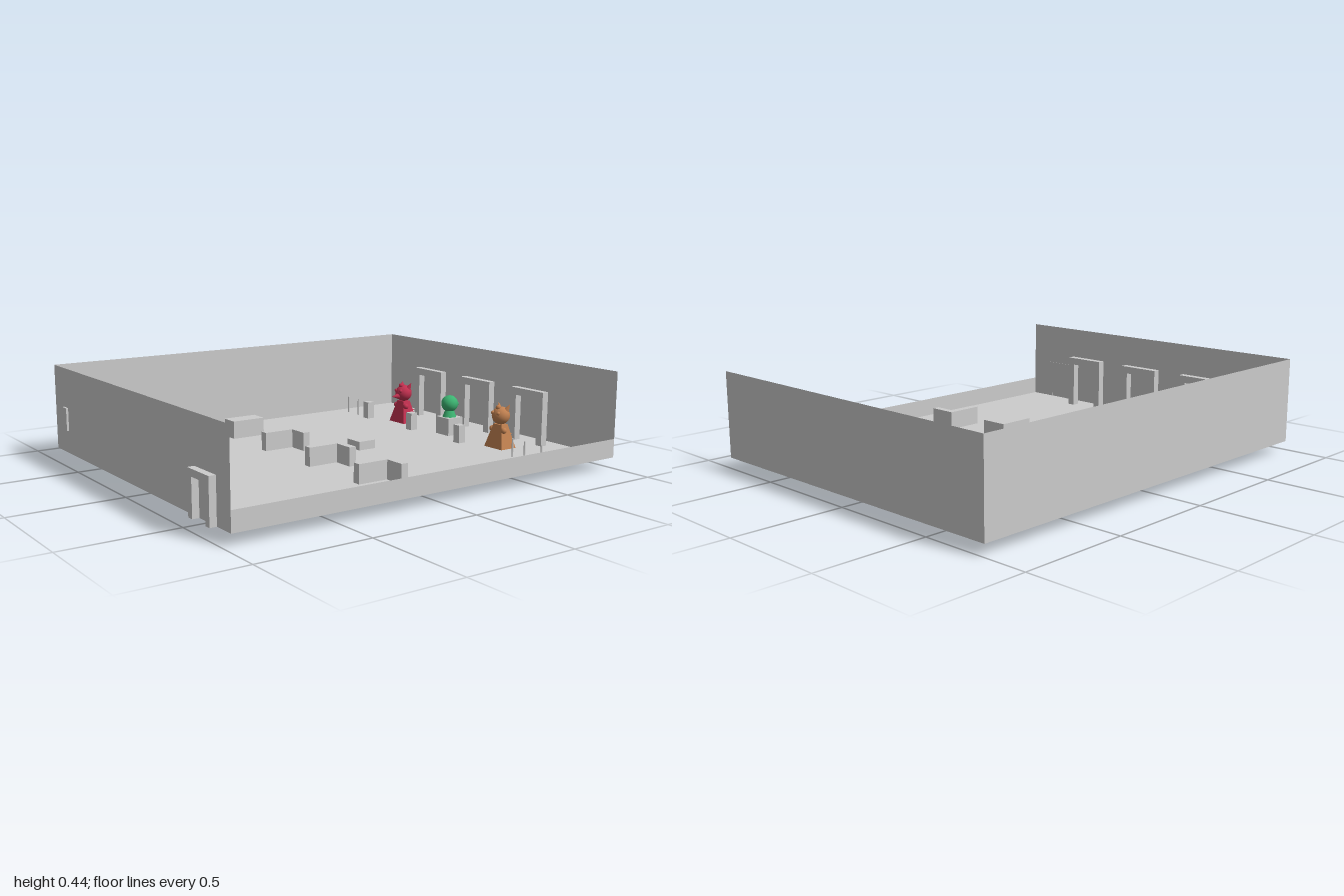
import * as THREE from 'three';

const FLOOR = 0.05;
const LOW = 0.135;   // height of the low wall and furniture
const HIGH = 0.44;

const grey = new THREE.MeshStandardMaterial({ color: 0xcccccc });
const sheet = new THREE.MeshStandardMaterial({ color: 0xcccccc, side: THREE.DoubleSide });

function add(parent, name, geometry, material, x = 0, y = 0, z = 0) {
  const mesh = new THREE.Mesh(geometry, material);
  mesh.name = name;
  mesh.position.set(x, y, z);
  parent.add(mesh);
  return mesh;
}

// Box given by its two extreme corners
function box(parent, name, x0, x1, y0, y1, z0, z1) {
  return add(parent, name, new THREE.BoxGeometry(x1 - x0, y1 - y0, z1 - z0), grey,
    (x0 + x1) / 2, (y0 + y1) / 2, (z0 + z1) / 2);
}

// Open doorway: two posts and a lintel, facing along x
function doorway(parent, name, x0, x1, top, z, half, post) {
  const s = new THREE.Shape();
  const h = top - FLOOR;
  const pts = [[-half, 0], [-half + post, 0], [-half + post, h - post], [half - post, h - post],
    [half - post, 0], [half, 0], [half, h], [-half, h]];
  s.setFromPoints(pts.map(([a, b]) => new THREE.Vector2(a, b)));
  const g = new THREE.ExtrudeGeometry(s, { depth: x1 - x0, bevelEnabled: false });
  g.rotateY(Math.PI / 2);
  add(parent, name, g, grey, x0, FLOOR, z);
}

// L-shaped partition with its long arm along x
function partition(parent, z) {
  const s = new THREE.Shape();
  const pts = [[-0.214, 0], [-0.037, 0], [-0.037, -0.132], [-0.07, -0.132], [-0.07, -0.037], [-0.214, -0.037]];
  s.setFromPoints(pts.map(([a, b]) => new THREE.Vector2(a, b)));
  const g = new THREE.ExtrudeGeometry(s, { depth: LOW - FLOOR, bevelEnabled: false });
  g.rotateX(-Math.PI / 2);
  add(parent, 'partition', g, grey, 0, FLOOR, z);
}

// Cone whose tip points along a direction
function spike(parent, name, material, radius, length, base, dir) {
  const g = new THREE.ConeGeometry(radius, length, 12);
  g.translate(0, length / 2, 0);
  const m = add(parent, name, g, material, ...base);
  m.quaternion.setFromUnitVectors(new THREE.Vector3(0, 1, 0), new THREE.Vector3(...dir).normalize());
}

// Figure with a tapered body, round head, pointed crest and tail
function robedFigure(parent, name, color, z, beak) {
  const mat = new THREE.MeshStandardMaterial({ color });
  const fig = new THREE.Group();
  fig.name = name;
  fig.position.set(0.73, FLOOR, z);
  parent.add(fig);

  const body = new THREE.CylinderGeometry(0.45, 1, 1, 4, 1).toNonIndexed();
  body.rotateY(Math.PI / 4);
  body.scale(0.045 * Math.SQRT2, 0.11, 0.058 * Math.SQRT2);
  body.computeVertexNormals();
  add(fig, 'body', body, mat, 0, 0.055, 0);
  add(fig, 'head', new THREE.SphereGeometry(0.042, 24, 16), mat, 0, 0.15, 0);
  spike(fig, 'tail', mat, 0.018, 0.055, [0.02, 0.05, 0], [1, 0.1, 0]);
  for (const side of [-1, 1]) {
    spike(fig, 'ear', mat, 0.014, 0.035, [0.012, 0.175, side * 0.022], [0.25, 1, side * 0.5]);
    add(fig, 'eye', new THREE.SphereGeometry(0.009, 12, 8), mat, -0.034, 0.165, side * 0.018);
    add(fig, 'arm', new THREE.SphereGeometry(0.014, 12, 8), mat, -0.015, 0.085, side * 0.038);
  }
  add(fig, 'crest', new THREE.SphereGeometry(0.012, 12, 8), mat, -0.018, 0.19, 0);
  if (beak) spike(fig, 'beak', mat, 0.016, 0.04, [-0.035, 0.137, 0], [-1, 0, 0]);
}

export function createModel() {
  const room = new THREE.Group();
  room.name = 'room';

  // Floor and thin walls, low at the front
  const W = 1.97, D = 1.61, cx = 0.015;
  add(room, 'floor', new THREE.PlaneGeometry(W, D).rotateX(-Math.PI / 2), sheet, cx, FLOOR, 0);
  const hHigh = HIGH - FLOOR, hLow = LOW - FLOOR;
  add(room, 'backWall', new THREE.PlaneGeometry(W, hHigh), sheet, cx, FLOOR + hHigh / 2, -D / 2);
  add(room, 'frontWall', new THREE.PlaneGeometry(W, hLow), sheet, cx, FLOOR + hLow / 2, D / 2);
  for (const [name, x] of [['rightWall', -0.97], ['leftWall', 1]])
    add(room, name, new THREE.PlaneGeometry(D, hHigh).rotateY(Math.PI / 2), sheet, x, FLOOR + hHigh / 2, 0);

  // Doorways along both side walls, and the entrance
  for (const z of [-0.36, 0, 0.36]) {
    doorway(room, 'rightDoorway', -0.905, -0.87, 0.305, z, 0.105, 0.035);
    doorway(room, 'leftDoorway', 0.892, 0.926, 0.305, z, 0.105, 0.035);
  }
  doorway(room, 'entrance', -1, -0.968, 0.24, 0.625, 0.08, 0.03);
  box(room, 'wallBox', -0.98, -0.935, 0.155, 0.26, -0.705, -0.66);

  // Furniture in the middle
  for (const z of [-0.226, 0.134, 0.493]) partition(room, z);
  box(room, 'counter', -0.205, -0.037, FLOOR, LOW, -0.585, -0.497);
  box(room, 'centreBlock', 0.145, 0.235, 0, 0.09, -0.046, 0.046);

  // Row of posts and thin poles in front of the figures
  for (const z of [-0.538, -0.181, 0.177]) box(room, 'post', 0.62, 0.658, FLOOR, LOW, z - 0.02, z + 0.02);
  for (const z of [-0.717, -0.63, 0.535, 0.61, 0.712])
    add(room, 'pole', new THREE.CylinderGeometry(0.004, 0.004, LOW - FLOOR, 8), grey, 0.639, (FLOOR + LOW) / 2, z);

  // Figures
  robedFigure(room, 'redFigure', 0xc0304f, -0.36, true);
  robedFigure(room, 'brownFigure', 0xc08050, 0.36, false);

  const green = new THREE.MeshStandardMaterial({ color: 0x3cb371 });
  const bust = new THREE.Group();
  bust.name = 'greenBust';
  room.add(bust);
  box(bust, 'pedestal', 0.685, 0.775, FLOOR, LOW, -0.046, 0.046);
  add(bust, 'neck', new THREE.CylinderGeometry(0.018, 0.034, 0.04, 20), green, 0.73, LOW + 0.02, 0);
  add(bust, 'head', new THREE.SphereGeometry(0.041, 24, 16), green, 0.73, 0.2, 0);
  add(bust, 'nose', new THREE.SphereGeometry(0.012, 12, 8), green, 0.774, 0.195, 0);

  return room;
}
